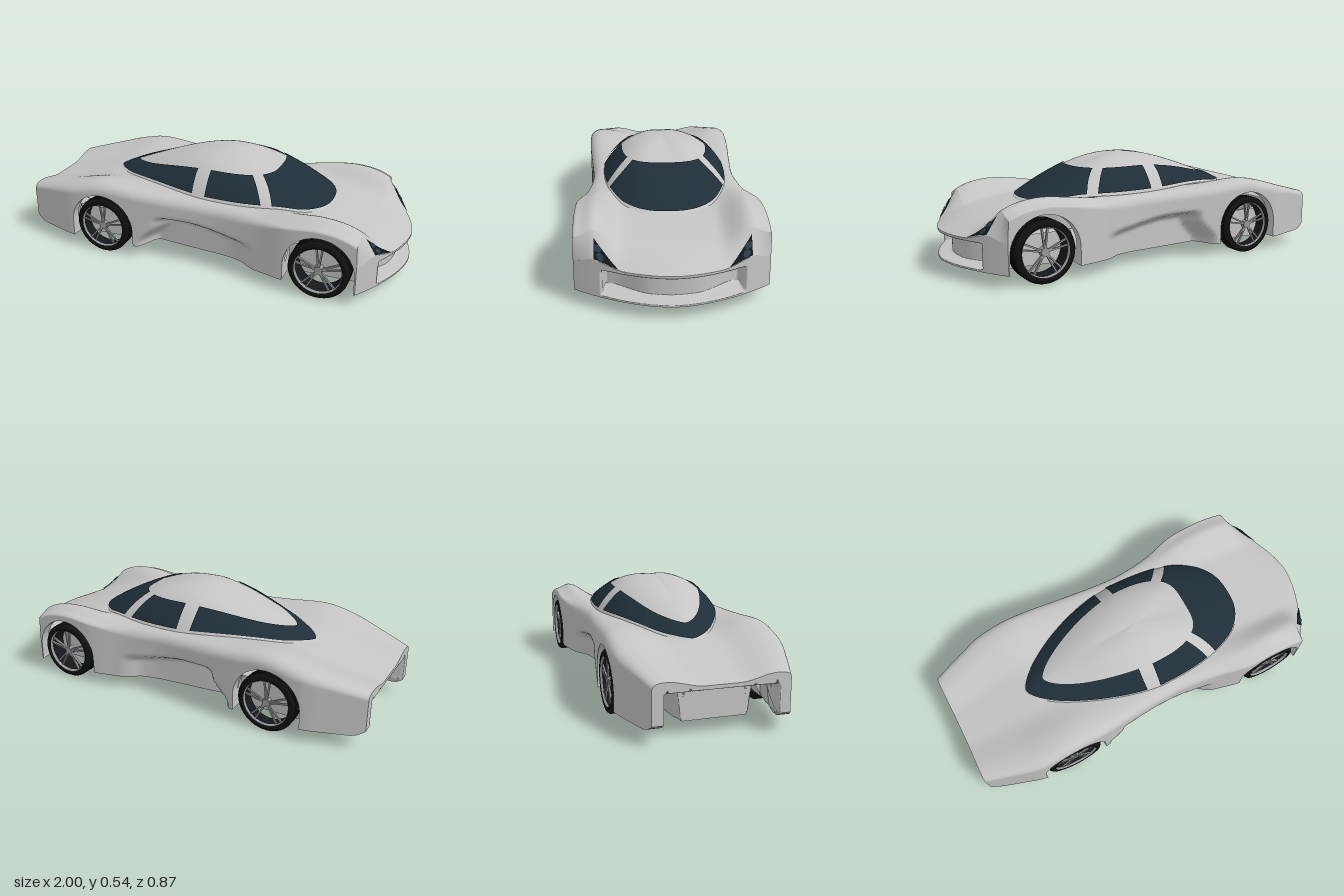
import * as THREE from 'three';

const D = THREE.DoubleSide;
const mat = (name, color, side = THREE.FrontSide) => {
  const m = new THREE.MeshStandardMaterial({ color, side });
  m.name = name;
  return m;
};

const clamp = (v) => Math.min(1, Math.max(0, v));
const smooth = (a, b, v) => { const k = clamp((v - a) / (b - a)); return k * k * (3 - 2 * k); };
const lerp = THREE.MathUtils.lerp;

// Smooth curve through [x, y] points
function curve(p) {
  const slope = (i) => {
    const a = p[Math.max(0, i - 1)], b = p[Math.min(p.length - 1, i + 1)];
    return (b[1] - a[1]) / (b[0] - a[0]);
  };
  return (x) => {
    let i = 0;
    while (i < p.length - 2 && x > p[i + 1][0]) i++;
    const h = p[i + 1][0] - p[i][0], k = clamp((x - p[i][0]) / h), k2 = k * k, k3 = k2 * k;
    return p[i][1] * (2 * k3 - 3 * k2 + 1) + p[i + 1][1] * (3 * k2 - 2 * k3)
      + h * (slope(i) * (k3 - 2 * k2 + k) + slope(i + 1) * (k3 - k2));
  };
}

// Surface grid: fn(i, j) returns [x, y, z]
function grid(nu, nv, fn) {
  const pos = [], idx = [];
  for (let i = 0; i <= nu; i++) for (let j = 0; j <= nv; j++) pos.push(...fn(i, j));
  for (let i = 0; i < nu; i++) for (let j = 0; j < nv; j++) {
    const a = i * (nv + 1) + j, b = a + nv + 1;
    idx.push(a, a + 1, b, b, a + 1, b + 1);
  }
  const g = new THREE.BufferGeometry();
  g.setAttribute('position', new THREE.Float32BufferAttribute(pos, 3));
  g.setIndex(idx);
  g.computeVertexNormals();
  return g;
}

// Body curves along the car (nose at +x)
const width = curve([[-1, .31], [-.85, .36], [-.7, .402], [-.4, .4], [-.2, .385], [0, .37], [.12, .37], [.3, .392], [.47, .431], [.6, .435], [.8, .435], [1, .435]]);
const deckY = curve([[-1, .25], [-.8, .292], [-.6, .335], [-.45, .345], [0, .35], [.3, .343], [.5, .333], [.63, .318], [.8, .282], [.9, .25], [1, .21]]);
const fenderY = curve([[-1, .28], [-.8, .332], [-.6, .384], [-.5, .394], [-.3, .376], [0, .36], [.3, .356], [.5, .38], [.63, .39], [.75, .372], [.85, .325], [1, .238]]);
// Centre hull and inner pod wall, either side of the rear air tunnels
const hullZ = curve([[-1, .13], [-.5, .235], [-.2, .28], [0, .3], [.15, .318], [.3, .36]]);
const podZ = curve([[-1, .255], [-.7, .305], [-.2, .305]]);
const wheelX = [-.535, .638], archR = .175, floorY = .065;

const archAt = (t) => wheelX.find((c) => Math.abs(t - c) < archR);
const bellyY = (t) => floorY + .03 * clamp((-.93 - t) / .07) ** 2;
function sideBottom(t) {
  const c = archAt(t);
  return c === undefined ? bellyY(t) : .15 + Math.sqrt(archR * archR - (t - c) ** 2);
}
// Underside height, raised to the tunnel roof between hull and pods
function underY(t, z) {
  const a = Math.abs(z), h = hullZ(t), p = podZ(t);
  return lerp(bellyY(t), .2, (1 - smooth(-.34, -.25, t)) * smooth(h, h + .02, a) * (1 - smooth(p - .015, p, a)));
}
// Upper skin height; q is 0 on the centre line and 1 at the flank
function topY(t, q) {
  const f = fenderY(t), front = smooth(.2, .5, t);
  if (q < .8) return lerp(deckY(t), f, smooth(lerp(.25, .47, smooth(-.2, .4, t)), .8, q));
  const e = (q - .8) / .2, edge = (n) => 1 - Math.sqrt(Math.max(0, 1 - e ** n));
  const rear = lerp(.028, .055, smooth(-1, -.6, t)) * edge(2.8);
  return f - lerp(rear, .022 * smooth(0, .8, e) + .016 * edge(6), front);
}
const skinY = (x, z) => topY(x, Math.min(1, Math.abs(z) / width(x)));
// Rounds the nose in plan
const noseX = (t, z) => t - clamp((t - .815) / .185) * .18 * (Math.abs(z) / .435) ** 1.75;
// Hollow behind the door, low on the flank, running in to the hull
function scoop(t, y) {
  const top = lerp(.255, .205, smooth(-.1, .3, t)), back = lerp(-.34, -.25, smooth(.08, .21, y));
  return (width(t) - hullZ(t)) * smooth(back, back + .08, t) * (1 - smooth(.21, .32, t)) * (1 - smooth(top - .05, top, y));
}

// Cabin plan and dome
const CX = .03, CB = .312;
const cabinA = (front) => front ? .575 : .65;
function cabin(th, r, lift = 0) {
  const c = Math.cos(th), s = Math.sin(th), e = c > 0 ? .8 : 1.33;
  const ux = Math.sign(c) * Math.abs(c) ** e, uz = Math.sign(s) * Math.abs(s) ** e;
  const x = CX + cabinA(c > 0) * ux * r, z = CB * uz * r;
  const p = lerp(2.8, c > 0 ? 1.64 : 1.45, c * c);
  const y = skinY(x, z) + .185 * (1 - r ** p) + .002;
  return [x + ux * lift, y + lift, z + uz * lift];
}
// Angle at which the cabin ring r passes through x
function cabinAngle(x, r) {
  const d = x - CX, k = clamp(Math.abs(d) / (r * cabinA(d > 0)));
  return Math.acos(Math.sign(d) * k ** (1 / (d > 0 ? .8 : 1.33)));
}
const glassTop = (th) => {
  const c = Math.cos(th), k = c * c;
  return c > 0 ? .68 - .19 * k : .68 + .14 * k;
};

export function createModel() {
  const car = new THREE.Group();
  car.name = 'car';
  const silver = mat('silver paint', 0xc4c4c4, D), glass = mat('dark glass', 0x1f2e38, D);
  const rubber = mat('black rubber', 0x111111), black = mat('trim black', 0x14181b, D);
  const lens = mat('lamp lens', 0x263c4b, D), alloy = mat('alloy', 0x97999b, D);
  const add = (name, geo, m, parent = car) => {
    const mesh = new THREE.Mesh(geo, m);
    mesh.name = name;
    parent.add(mesh);
    return mesh;
  };

  // Body skin, with the wheel arches cut into the flanks
  const st = [];
  for (let i = 0; i <= 120; i++) st.push(-1 + i / 60);
  for (const c of wheelX) for (const s of [-1, 1]) for (const d of [-.0005, .0005, -.004, -.009]) st.push(c + s * (archR + d));
  st.sort((a, b) => a - b);
  const H = 32, K = 20;
  const skin = (t, j) => {
    const s = j < 0 ? -1 : 1, n = Math.abs(j), w = width(t);
    if (n <= H) {
      const q = Math.sin(n / H * Math.PI / 2), z = w * q * s;
      return [noseX(t, z), topY(t, q), z];
    }
    const y = lerp(topY(t, 1), sideBottom(t), (n - H) / K), z = s * (w - scoop(t, y));
    return [noseX(t, z), y, z];
  };
  add('bodyShell', grid(st.length - 1, 2 * (H + K), (i, j) => skin(st[i], j - H - K)), silver);

  // Floor with rear tunnels; its edges turn up as inner walls of the wheel wells
  add('floor', grid(st.length - 1, 90, (i, j) => {
    const t = st[i], u = clamp((j - 1) / 88) * 2 - 1, inArch = archAt(t) !== undefined;
    const z = u * (inArch ? .315 : width(t) - scoop(t, floorY)), x = noseX(t, z);
    const y = inArch && (j === 0 || j === 90) ? .215 : underY(t, z);
    return [Math.abs(z) < .255 ? Math.max(x, -.9) : x, y, z];
  }), silver);

  // Inner lips of the wheel arches
  for (const c of wheelX) for (const s of [-1, 1]) {
    const a = st.filter((t) => Math.abs(t - c) < archR + .001);
    add('archLip', grid(a.length - 1, 1, (i, j) => [a[i], sideBottom(a[i]), s * (width(a[i]) - .05 * j)]), silver);
  }

  // Nose with its wide air intake, and tail hollowed between two pods
  const endCap = (t, recess) => grid(140, 44, (i, j) => {
    const q = Math.sin((i / 70 - 1) * Math.PI / 2), z = q * width(t);
    const y = lerp(underY(t, z), topY(t, Math.abs(q)), j / 44);
    return [noseX(t, z) + recess(Math.abs(z), y), y, z];
  });
  add('nosePanel', endCap(1, (z, y) => -(1 - smooth(.295, .312, z)) * smooth(.076, .084, y) * (1 - smooth(.185, .198, y))
    * (.07 + .04 * smooth(.1, .26, z))), silver);
  add('tailPanel', endCap(-1, (z, y) => .1 * (1 - smooth(.243, .258, z)) * (1 - smooth(.215, .232, y))), silver);

  // Cabin dome
  add('cabin', grid(120, 36, (i, j) => cabin(i / 60 * Math.PI, Math.max(.001, j / 36))), silver);

  // Glass panels: lower edge angles a0..a1, upper edge angles b0..b1
  const pane = (name, a0, a1, b0, b1) => add(name, grid(60, 18, (i, j) => {
    const u = i / 60, v = j / 18, th = lerp(lerp(a0, a1, u), lerp(b0, b1, u), v);
    return cabin(th, lerp(.98, glassTop(th), v), .005);
  }), glass);
  const low = (x) => cabinAngle(x, .98), high = (x, r = .67) => cabinAngle(x, r);
  const wa = low(.352), wb = high(.268, .62);
  pane('windscreen', -wa, wa, -wb, wb);
  const ra = low(-.058), rb = high(-.058);
  pane('rearGlass', ra, 2 * Math.PI - ra, rb, 2 * Math.PI - rb);
  for (const s of [1, -1]) pane('sideWindow', s * low(.3), s * low(.012), s * high(.22, .64), s * high(.012));

  // Headlamps laid on the front wings
  const onWing = (t, z, lift) => [noseX(t, z) + lift, topY(t, Math.abs(z) / width(t)) + lift, z];
  for (const s of [1, -1]) {
    add('headlamp', grid(14, 10, (i, j) => {
      const u = i / 14, v = j / 10;
      return onWing(lerp(.86, .998, u), s * (.342 - .107 * v * u ** 1.3), .003);
    }), black);
    for (const [t, z] of [[.928, .325], [.972, .314]]) {
      add('lampLens', grid(20, 2, (i, j) => {
        const a = i / 10 * Math.PI, r = Math.max(.001, j / 2);
        return onWing(t + .022 * r * Math.cos(a), s * (z + .016 * r * Math.sin(a)), .006);
      }), lens);
    }
  }

  // Wheels: grooved tyre, dark barrel, thin bright rim, five twin spokes and a hub
  const P = (r, y) => new THREE.Vector2(r, y);
  const tread = [];
  for (let k = -2; k <= 2; k++) tread.push(P(.146, k * .018 - .006), P(.15, k * .018 - .004), P(.15, k * .018 + .004), P(.146, k * .018 + .006));
  const tyreGeo = new THREE.LatheGeometry([P(.118, -.05), P(.128, -.055), P(.142, -.052), ...tread, P(.142, .052), P(.128, .055), P(.118, .05), P(.118, -.05)], 48);
  const barrelGeo = new THREE.LatheGeometry([P(.116, -.048), P(.114, 0), P(.115, .046)], 48);
  const rimGeo = new THREE.LatheGeometry([P(.113, .04), P(.114, .048), P(.118, .052)], 48);
  for (const [k, x] of wheelX.entries()) for (const s of [1, -1]) {
    const wheel = new THREE.Group();
    wheel.name = k ? 'frontWheel' : 'rearWheel';
    for (const [name, geo, m] of [['tyre', tyreGeo, rubber], ['barrel', barrelGeo, black], ['rim', rimGeo, alloy]]) {
      add(name, geo, m, wheel).rotation.x = Math.PI / 2;
    }
    const hub = add('hub', new THREE.CylinderGeometry(.02, .024, .03, 20), alloy, wheel);
    hub.rotation.x = Math.PI / 2;
    hub.position.z = .03;
    for (let i = 0; i < 5; i++) for (const d of [-1, 1]) {
      const arm = new THREE.Group();
      arm.name = 'spokeArm';
      arm.rotation.z = Math.PI / 2 + i * Math.PI * .4 + d * .13;
      add('spoke', new THREE.BoxGeometry(.1, .008, .012), alloy, arm).position.set(.065, 0, .036);
      wheel.add(arm);
    }
    // Rear wheels are narrower
    wheel.scale.z = k ? 1 : .7;
    wheel.position.set(x, .15, s * (k ? .378 : .36));
    if (s < 0) wheel.rotation.y = Math.PI;
    car.add(wheel);
  }
  return car;
}
